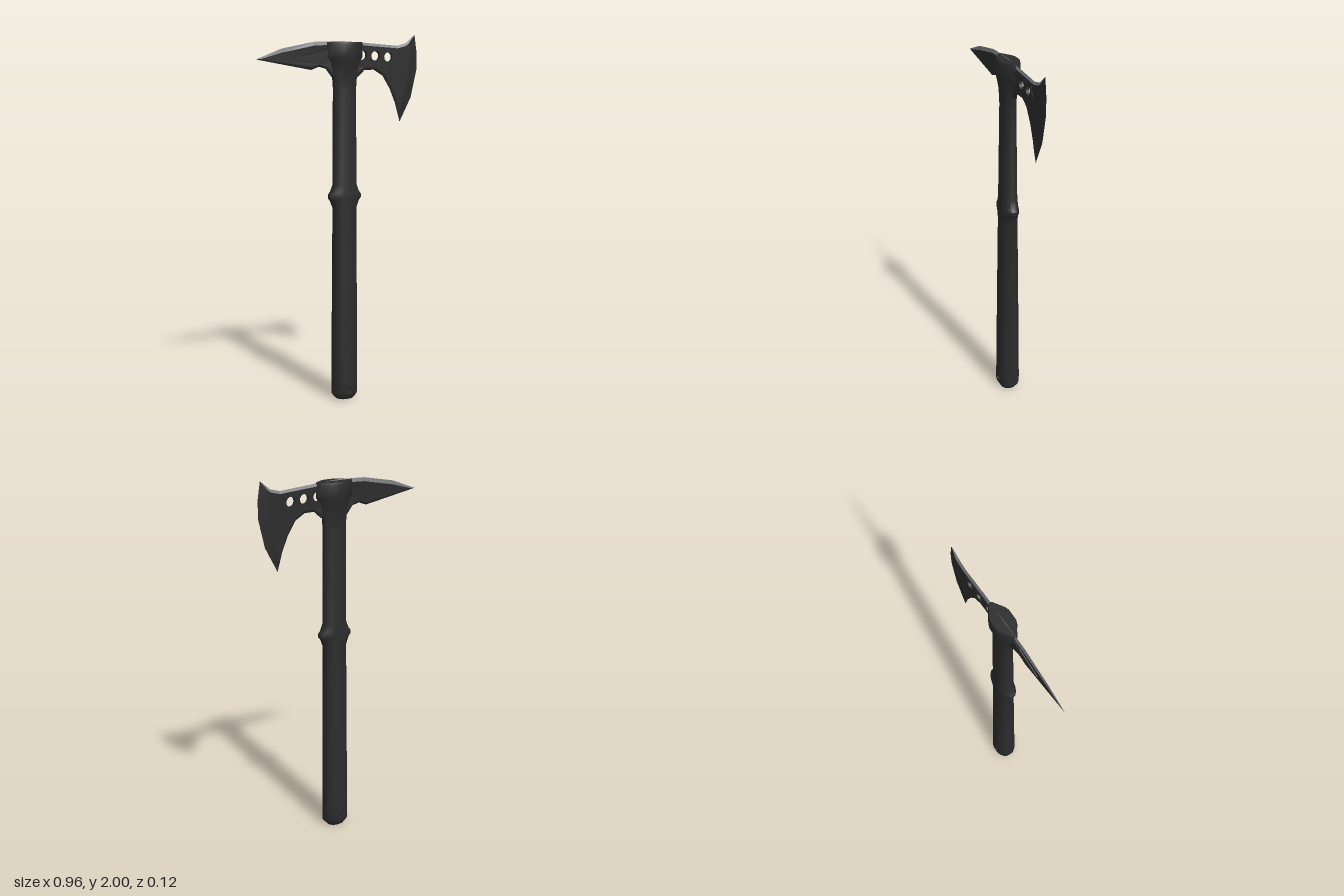
import * as THREE from 'three';
import { toCreasedNormals } from 'three/addons/utils/BufferGeometryUtils.js';

const charcoal = new THREE.MeshStandardMaterial({ color: 0x2b2b2b });
charcoal.name = 'charcoal';
const steel = new THREE.MeshStandardMaterial({ color: 0x74777b });
steel.name = 'steelGrey';
const inside = new THREE.MeshStandardMaterial({ color: 0x2b2b2b, side: THREE.DoubleSide });
inside.name = 'charcoalInside';

const CX = 0.033; // handle axis
const GRIP = [[1, 0], [0.97, 0.35], [0.8, 0.68], [0.55, 0.9], [0.25, 1]];
const LENS = [[1, 0], [0.95, 0.2], [0.68, 0.55], [0.45, 0.86], [0.25, 1]];

// Mirror a quarter section into a closed ring at height y
function ring(y, hx, hz, quarter = GRIP) {
  const half = [...quarter, ...quarter.slice(1).reverse().map(([x, z]) => [-x, z]), [-1, 0]];
  const back = half.slice(1, -1).reverse().map(([x, z]) => [x, -z]);
  return [...half, ...back].map(([x, z]) => [CX + x * hx, y, z * hz]);
}

function fromTriangles(list) {
  const geo = new THREE.BufferGeometry();
  geo.setAttribute('position', new THREE.Float32BufferAttribute(list.flat(), 3));
  geo.computeVertexNormals();
  return geo;
}

// Skin a stack of rings; skip(row, column) leaves a cell open
function loft(rings, skip = () => false) {
  const n = rings[0].length, t = [];
  for (let i = 0; i < rings.length - 1; i++) {
    for (let j = 0; j < n; j++) {
      if (skip(i, j)) continue;
      const k = (j + 1) % n;
      const a = rings[i][j], b = rings[i][k], c = rings[i + 1][j], d = rings[i + 1][k];
      t.push(a, c, b, b, c, d);
    }
  }
  const first = rings[0], last = rings[rings.length - 1];
  for (let j = 0; j < n; j++) {
    const k = (j + 1) % n;
    t.push([CX, first[0][1], 0], first[j], first[k], [CX, last[0][1], 0], last[k], last[j]);
  }
  // enlarge while smoothing so that close points stay distinct
  return toCreasedNormals(fromTriangles(t).scale(100, 100, 100), 0.6).scale(0.01, 0.01, 0.01);
}

const shapeOf = (pts) => new THREE.Shape(pts.map(([x, y]) => new THREE.Vector2(x, y)));
function punch(shape, x, y, r) {
  shape.holes.push(new THREE.Path().absarc(x, y, r, 0, Math.PI * 2, true));
  return shape;
}

// Half thickness of the head plate, thinning along the spike
const thick = (x) => (x > 0 ? 0.007 : THREE.MathUtils.mapLinear(Math.max(x, -0.48), -0.48, 0, 0.002, 0.009));

// Head outline: outer x, y, then the inner end of its bevel
const OUTLINE = [
  [-0.48, 1.87, -0.45, 1.872], [-0.335, 1.925, -0.33, 1.905], [-0.15, 1.96, -0.15, 1.94],
  [0.01, 1.965, 0.01, 1.947], [0.14, 1.957, 0.14, 1.942], [0.355, 1.94, 0.355, 1.926],
  [0.41, 1.955, 0.405, 1.938], [0.465, 2, 0.425, 1.95], [0.48, 1.905, 0.43, 1.9],
  [0.48, 1.81, 0.428, 1.81], [0.445, 1.66, 0.4, 1.69], [0.375, 1.527, 0.37, 1.58],
  [0.345, 1.63, 0.352, 1.64], [0.31, 1.71, 0.32, 1.717], [0.265, 1.78, 0.272, 1.79],
  [0.21, 1.812, 0.213, 1.824], [0.155, 1.812, 0.15, 1.824], [0.115, 1.775, 0.1, 1.79],
  [-0.045, 1.775, -0.035, 1.79], [-0.08, 1.82, -0.085, 1.832], [-0.12, 1.83, -0.12, 1.842],
  [-0.165, 1.814, -0.165, 1.828],
];
const TOP_SEGMENTS = 7;
const HOLES = [[0.138, 1.89], [0.217, 1.886], [0.296, 1.88]];

// Bevel strips on both sides for a run of outline segments
function bevel(from, to) {
  const t = [];
  for (let i = from; i < to; i++) {
    const p = OUTLINE[i], q = OUTLINE[(i + 1) % OUTLINE.length];
    for (const s of [1, -1]) {
      const a = [p[0], p[1], 0], b = [q[0], q[1], 0];
      const c = [p[2], p[3], s * thick(p[2])], d = [q[2], q[3], s * thick(q[2])];
      if (s > 0) t.push(a, c, b, b, c, d);
      else t.push(a, b, c, b, d, c);
    }
  }
  return fromTriangles(t);
}

// Plate extruded through the head, standing proud of both faces
function panel(shape, proud) {
  const geo = new THREE.ExtrudeGeometry(shape, { depth: 1, bevelEnabled: false, curveSegments: 10 });
  const p = geo.attributes.position;
  for (let i = 0; i < p.count; i++) {
    p.setZ(i, (p.getZ(i) > 0.5 ? 1 : -1) * (thick(p.getX(i)) + proud));
  }
  geo.computeVertexNormals();
  return geo;
}

export function createModel() {
  const model = new THREE.Group();
  const add = (name, geo, mat = charcoal) => {
    const mesh = new THREE.Mesh(geo, mat);
    mesh.name = name;
    model.add(mesh);
    return mesh;
  };

  // Handle with guard bulge; row 2 is left open front and back for the cord hole
  const rows = [
    [0, 0.05, 0.042], [0.025, 0.071, 0.057], [0.035, 0.072, 0.06], [0.085, 0.072, 0.06],
    [0.6, 0.07, 0.053], [1.07, 0.067, 0.046], [1.11, 0.083, 0.046], [1.125, 0.095, 0.046],
    [1.145, 0.095, 0.046], [1.16, 0.083, 0.045], [1.2, 0.067, 0.044], [1.72, 0.066, 0.035],
  ].map((r) => ring(...r));
  add('handle', loft(rows, (i, j) => i === 2 && (j === 4 || j === 13)));

  // Cord hole
  const w = 0.072 * 0.25;
  const cell = punch(shapeOf([[CX - w, 0.035], [CX + w, 0.035], [CX + w, 0.085], [CX - w, 0.085]]), CX, 0.06, 0.012);
  for (const s of [1, -1]) {
    const face = add('cordHoleFace', new THREE.ShapeGeometry(cell, 10));
    face.position.z = s * 0.06;
    if (s < 0) {
      face.rotation.y = Math.PI;
      face.position.x = 2 * CX;
    }
  }
  const bore = add('cordHoleBore', new THREE.CylinderGeometry(0.012, 0.012, 0.12, 20, 1, true), inside);
  bore.rotation.x = Math.PI / 2;
  bore.position.set(CX, 0.06, 0);

  // Collar flaring from the handle into the head
  add('collar', loft([
    ring(1.72, 0.066, 0.035), ring(1.8, 0.072, 0.038), ring(1.85, 0.088, 0.05, LENS),
    ring(1.88, 0.108, 0.056, LENS), ring(1.945, 0.11, 0.056, LENS), ring(1.96, 0.106, 0.052, LENS),
  ]));

  // Head faces with three round holes
  const face = shapeOf(OUTLINE.map((p) => [p[2], p[3]]));
  HOLES.forEach(([x, y]) => punch(face, x, y, 0.026));
  for (const s of [1, -1]) {
    const geo = new THREE.ShapeGeometry(face, 10);
    const p = geo.attributes.position;
    for (let i = 0; i < p.count; i++) p.setZ(i, s * thick(p.getX(i)));
    if (s < 0) geo.setIndex([...geo.index.array].reverse());
    geo.computeVertexNormals();
    add('headFace', geo);
  }

  // Ground edges
  add('topBevel', bevel(0, TOP_SEGMENTS), steel);
  add('edgeBevel', bevel(TOP_SEGMENTS, OUTLINE.length));

  // Raised panels on the spike and around the holes
  add('spikePanel', panel(shapeOf([
    [-0.265, 1.875], [-0.17, 1.85], [-0.12, 1.862], [-0.06, 1.845], [0.01, 1.85], [0.01, 1.935], [-0.12, 1.92],
  ]), 0.003));
  const holePanel = shapeOf([
    [0.08, 1.85], [0.16, 1.84], [0.24, 1.838], [0.33, 1.835], [0.345, 1.86], [0.33, 1.917], [0.2, 1.926], [0.08, 1.932],
  ]);
  HOLES.forEach(([x, y]) => punch(holePanel, x, y, 0.026));
  add('holePanel', panel(holePanel, 0.003));

  return model;
}
